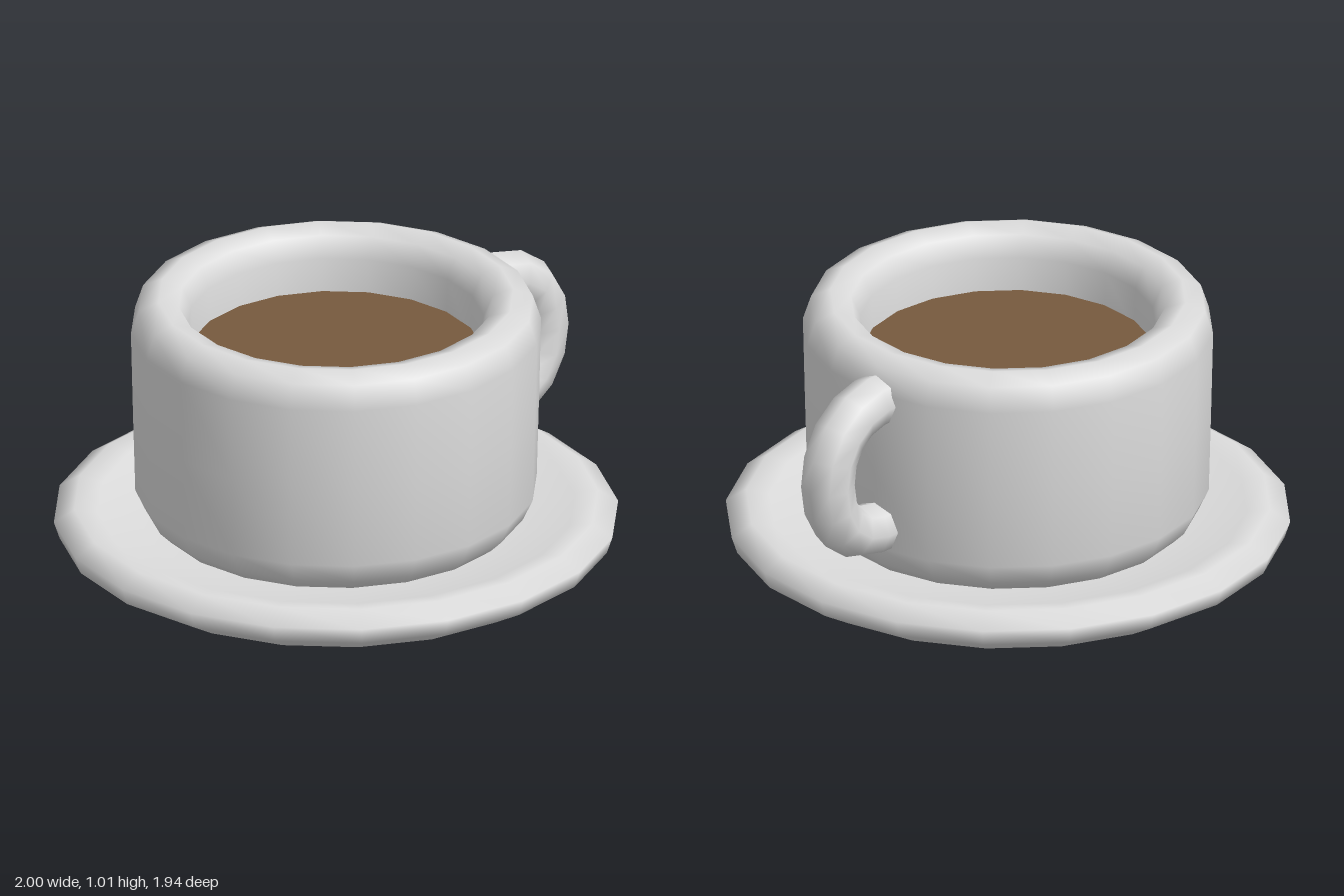
import * as THREE from 'three';

const SIDES = 20;
const CENTRE_X = -0.03;

export function createModel() {
  const group = new THREE.Group();
  const china = new THREE.MeshStandardMaterial({ color: 0xdcdcdc });
  china.name = 'white china';
  const brown = new THREE.MeshStandardMaterial({ color: 0x775a3e });
  brown.name = 'coffee brown';

  function add(name, geometry, material, x = 0, y = 0) {
    const mesh = new THREE.Mesh(geometry, material);
    mesh.name = name;
    mesh.position.set(x, y, 0);
    group.add(mesh);
    return mesh;
  }
  const turned = (profile) =>
    new THREE.LatheGeometry(profile.map(([r, y]) => new THREE.Vector2(r, y)), SIDES);

  // Saucer: flat foot, flared underside, rounded lip and shallow well
  add('saucer', turned([
    [0, 0], [0.4, 0.005], [0.67, 0.015], [0.83, 0.07], [0.95, 0.14], [0.97, 0.2],
    [0.9, 0.245], [0.82, 0.23], [0.68, 0.2], [0.5, 0.185], [0, 0.185],
  ]), china, CENTRE_X);

  // Cup: slightly tapered wall, thick rounded rim, inner wall down past the drink
  add('cup', turned([
    [0, 0.17], [0.6, 0.18], [0.655, 0.235], [0.69, 0.31], [0.698, 0.6], [0.705, 0.9],
    [0.677, 0.985], [0.61, 1.015], [0.54, 0.993], [0.508, 0.92], [0.503, 0.76],
  ]), china, CENTRE_X);

  // Drink surface
  const drink = new THREE.CircleGeometry(0.503, SIDES).rotateX(-Math.PI / 2);
  add('coffee', drink, brown, CENTRE_X, 0.8);

  // Handle: bent tube with both ends sunk into the wall
  const path = new THREE.CatmullRomCurve3([
    [0.6, 0.865], [0.72, 0.862], [0.82, 0.82], [0.885, 0.74], [0.907, 0.63],
    [0.885, 0.52], [0.82, 0.435], [0.72, 0.392], [0.6, 0.385],
  ].map(([x, y]) => new THREE.Vector3(x, y, 0)));
  add('handle', new THREE.TubeGeometry(path, 10, 0.092, 8, false), china);

  return group;
}
